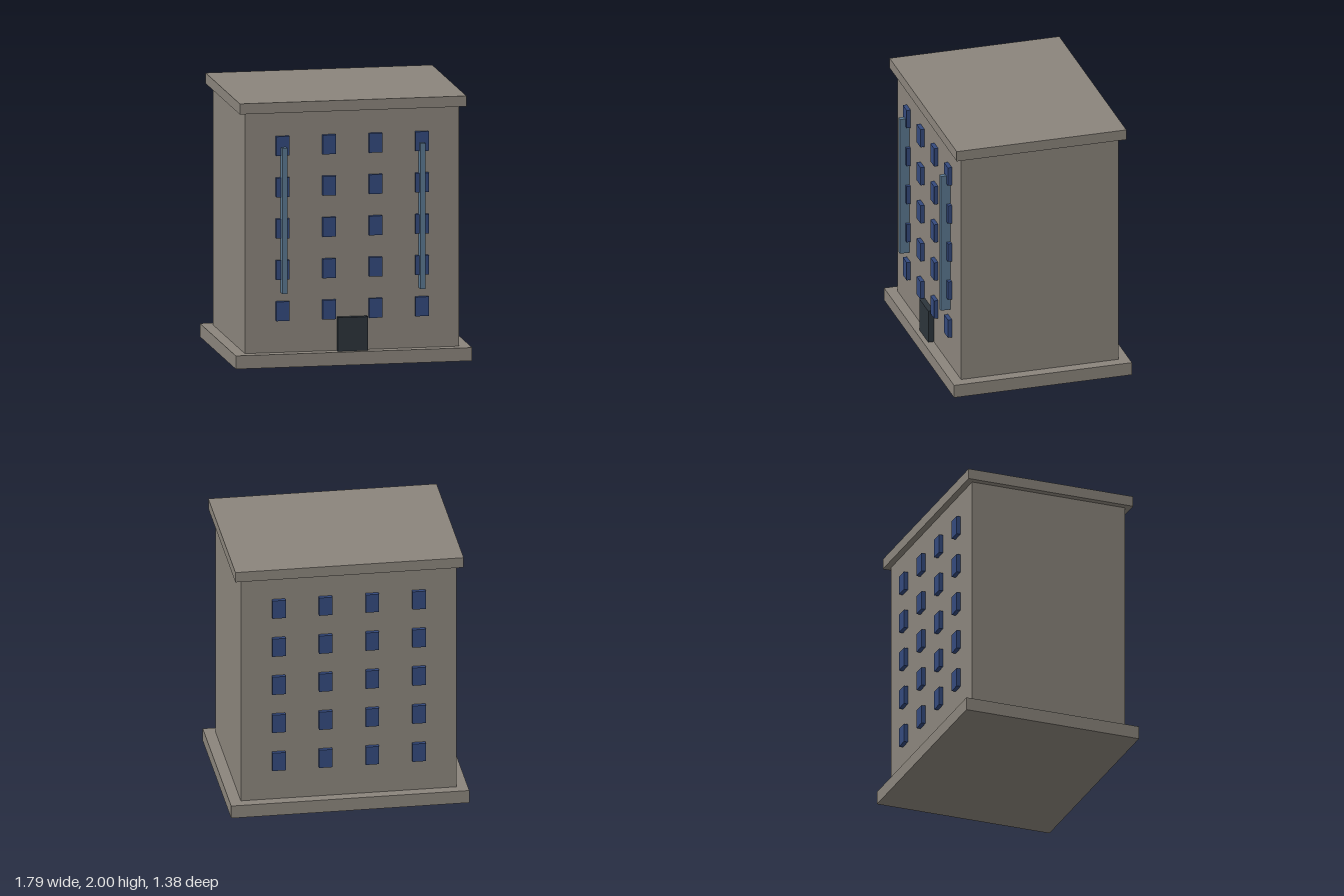
import * as THREE from 'three';

export function createModel() {
  const model = new THREE.Group();
  model.name = 'apartmentBlock';

  const material = (name, color) => {
    const m = new THREE.MeshStandardMaterial({ color });
    m.name = name;
    return m;
  };
  const stone = material('warm grey stone', 0x8b857c);
  const glass = material('blue window', 0x344a7d);
  const steel = material('blue grey fin', 0x5b7891);
  const dark = material('dark door', 0x2c343b);

  // Box from its size, centre x, bottom y and centre z
  const box = (name, mat, [w, h, d], x, bottom, z, parent = model) => {
    const mesh = new THREE.Mesh(new THREE.BoxGeometry(w, h, d), mat);
    mesh.name = name;
    mesh.position.set(x, bottom + h / 2, z);
    parent.add(mesh);
    return mesh;
  };

  // Plinth, main block and overhanging roof slab
  box('plinth', stone, [1.794, 0.1, 1.384], 0, 0, 0);
  box('walls', stone, [1.624, 1.82, 1.224], 0, 0.1, 0);
  box('roofSlab', stone, [1.72, 0.08, 1.32], 0, 1.92, 0);

  // Projecting windows: four columns by five floors, front and back
  const wallZ = 0.612;
  for (const side of [1, -1]) {
    const windows = new THREE.Group();
    windows.name = side > 0 ? 'frontWindows' : 'backWindows';
    model.add(windows);
    for (let floor = 0; floor < 5; floor++) {
      for (let col = 0; col < 4; col++) {
        const x = (col - 1.5) * 0.352;
        box('window', glass, [0.1, 0.146, 0.062], x, 0.342 + floor * 0.3125, side * wallZ, windows);
      }
    }
  }

  // Vertical fins over the outer window columns
  for (const side of [1, -1]) {
    box(side > 0 ? 'leftFin' : 'rightFin', steel, [0.038, 1.102, 0.076], side * 0.524, 0.555, 0.65);
  }

  // Entrance door
  box('door', dark, [0.23, 0.255, 0.086], 0, 0.1, wallZ);

  return model;
}
